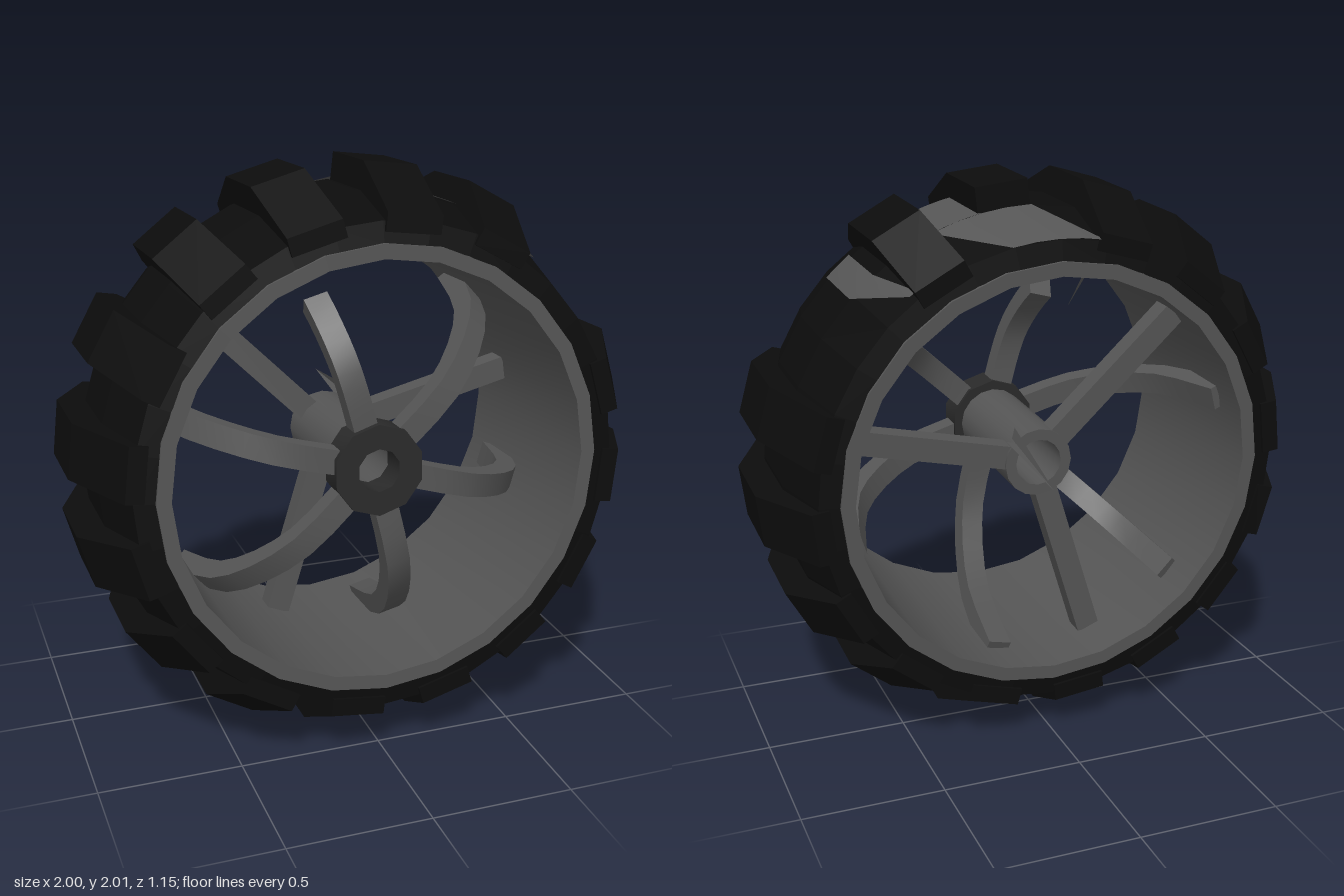
import * as THREE from 'three';
import { toCreasedNormals } from 'three/addons/utils/BufferGeometryUtils.js';

const DEG = Math.PI / 180;
const material = (color, flatShading = false) =>
  new THREE.MeshStandardMaterial({ color, flatShading, side: THREE.DoubleSide });
const black = material(0x0c0c0c, true);
const grey = material(0x555555);
const dark = material(0x2a2a2a);

function add(parent, name, geometry, mat) {
  const mesh = new THREE.Mesh(geometry, mat);
  mesh.name = name;
  parent.add(mesh);
  return mesh;
}

// Ring turned around the axle (z) from [radius, z] points
function ring(points, segments) {
  const geo = new THREE.LatheGeometry(points.map(([r, z]) => new THREE.Vector2(r, z)), segments);
  geo.rotateX(Math.PI / 2);
  return toCreasedNormals(geo, 0.7);
}

// Plate standing radially at an angle: outline in [z, radius], with a tangential width
function radialPlate(outline, width, angle) {
  const shape = new THREE.Shape(outline.map(([z, r]) => new THREE.Vector2(z, r)));
  const geo = new THREE.ExtrudeGeometry(shape, { depth: width, bevelEnabled: false });
  geo.translate(0, 0, -width / 2);
  geo.rotateY(-Math.PI / 2);
  geo.rotateZ((angle - 90) * DEG);
  return toCreasedNormals(geo, 0.5);
}

// Outline of a bar of even thickness following a curve in [z, radius]
function barOutline(points, thickness, steps, end = 1) {
  const curve = new THREE.SplineCurve(points.map(([z, r]) => new THREE.Vector2(z, r)));
  const front = [], back = [];
  for (let i = 0; i <= steps; i++) {
    const t = (i / steps) * end;
    const p = curve.getPoint(t), d = curve.getTangent(t);
    const nx = d.y * thickness / 2, ny = -d.x * thickness / 2;
    front.push([p.x + nx, p.y + ny]);
    back.unshift([p.x - nx, p.y - ny]);
  }
  return front.concat(back);
}

// Quad strip on the tyre from rows of [z, radius, startAngle, endAngle]
function patch(rows) {
  const pos = [], index = [], n = 4;
  rows.forEach(([z, r, a, b], j) => {
    for (let i = 0; i <= n; i++) {
      const t = (a + (b - a) * i / n) * DEG;
      pos.push(r * Math.cos(t), r * Math.sin(t), z);
      if (j && i) {
        const k = j * (n + 1) + i;
        index.push(k, k - 1, k - n - 2, k, k - n - 2, k - n - 1);
      }
    }
  });
  const geo = new THREE.BufferGeometry();
  geo.setAttribute('position', new THREE.Float32BufferAttribute(pos, 3));
  geo.setIndex(index);
  geo.computeVertexNormals();
  return geo;
}

function triangle(...corners) {
  const geo = new THREE.BufferGeometry().setFromPoints(corners.map(c => new THREE.Vector3(...c)));
  geo.computeVertexNormals();
  return geo;
}

export function createModel() {
  const model = new THREE.Group();
  model.name = 'wheel';
  const wheel = new THREE.Group();
  wheel.name = 'tiltedWheel';
  wheel.position.set(0, 1, 0.127);
  wheel.rotation.x = -0.041;
  model.add(wheel);

  // Tyre body
  add(wheel, 'tyre', ring([[0.765, -0.41], [0.84, -0.4], [0.905, -0.15],
    [0.905, 0.15], [0.84, 0.4], [0.765, 0.41]], 32), black);

  // Tread blocks: one is lost, one has lost its rear flank
  const block = [[-0.415, 0.8], [-0.415, 0.862], [-0.15, 0.995], [0.15, 0.995], [0.415, 0.862], [0.415, 0.8]];
  const brokenBlock = [[-0.15, 0.8], ...block.slice(2)];
  for (let i = 0; i < 16; i++) {
    if (i === 2) continue;
    add(wheel, 'treadBlock', radialPlate(i === 0 ? brokenBlock : block, 0.19, 83 - i * 22.5), black);
  }

  // Bare patches where the tread is torn
  add(wheel, 'tornPatch', patch([[-0.415, 0.845, 78, 100], [-0.16, 0.912, 66, 89]]), grey);
  add(wheel, 'tornPatch', patch([[-0.16, 0.912, 66, 77.5], [0.15, 0.912, 66, 77.5]]), grey);
  add(wheel, 'tornPatch', patch([[-0.38, 0.855, 53, 55], [-0.16, 0.912, 44, 51], [0.15, 0.912, 44, 51]]), grey);

  // Rim
  add(wheel, 'rim', ring([[0.72, -0.42], [0.77, -0.42], [0.77, 0.42], [0.72, 0.42], [0.72, -0.42]], 24), grey);

  // Hub tube and front collar
  add(wheel, 'hubTube', ring([[0.085, -0.23], [0.125, -0.23], [0.125, 0.3], [0.085, 0.3], [0.085, -0.23]], 16), grey);
  add(wheel, 'hubCollar', ring([[0.075, 0.25], [0.16, 0.25], [0.16, 0.36], [0.075, 0.36], [0.075, 0.25]], 10), dark);

  // Three groups of spokes: a straight rear one between two curved front ones
  const bend = [[0.3, 0.1], [0.28, 0.38], [0.07, 0.62], [-0.26, 0.725]];
  const straight = [[-0.18, 0.1], [-0.2, 0.73]];
  for (const angle of [135, 13, -107]) {
    add(wheel, 'rearSpoke', radialPlate(barOutline(straight, 0.08, 1), 0.085, angle), grey);
    for (const side of [-1, 1]) {
      const broken = angle === 135 && side === -1;
      add(wheel, 'frontSpoke',
        radialPlate(barOutline(bend, 0.075, 10, broken ? 0.57 : 1), 0.085, angle + side * 30), grey);
    }
  }

  // Torn flap hanging from the rim, and a thin splinter behind the hub
  add(wheel, 'rimFlap', triangle([-0.2, 0.7, -0.2], [-0.1, 0.56, -0.22], [-0.13, 0.71, -0.3]), grey);
  add(model, 'splinter', triangle([0.1, 1.09, -0.1], [0.13, 1.055, -0.57], [0.09, 1.13, -0.1]), grey);
  add(model, 'splinter', triangle([0.07, 1.07, -0.1], [0.13, 1.055, -0.57], [0.12, 1.08, -0.1]), grey);
  return model;
}
